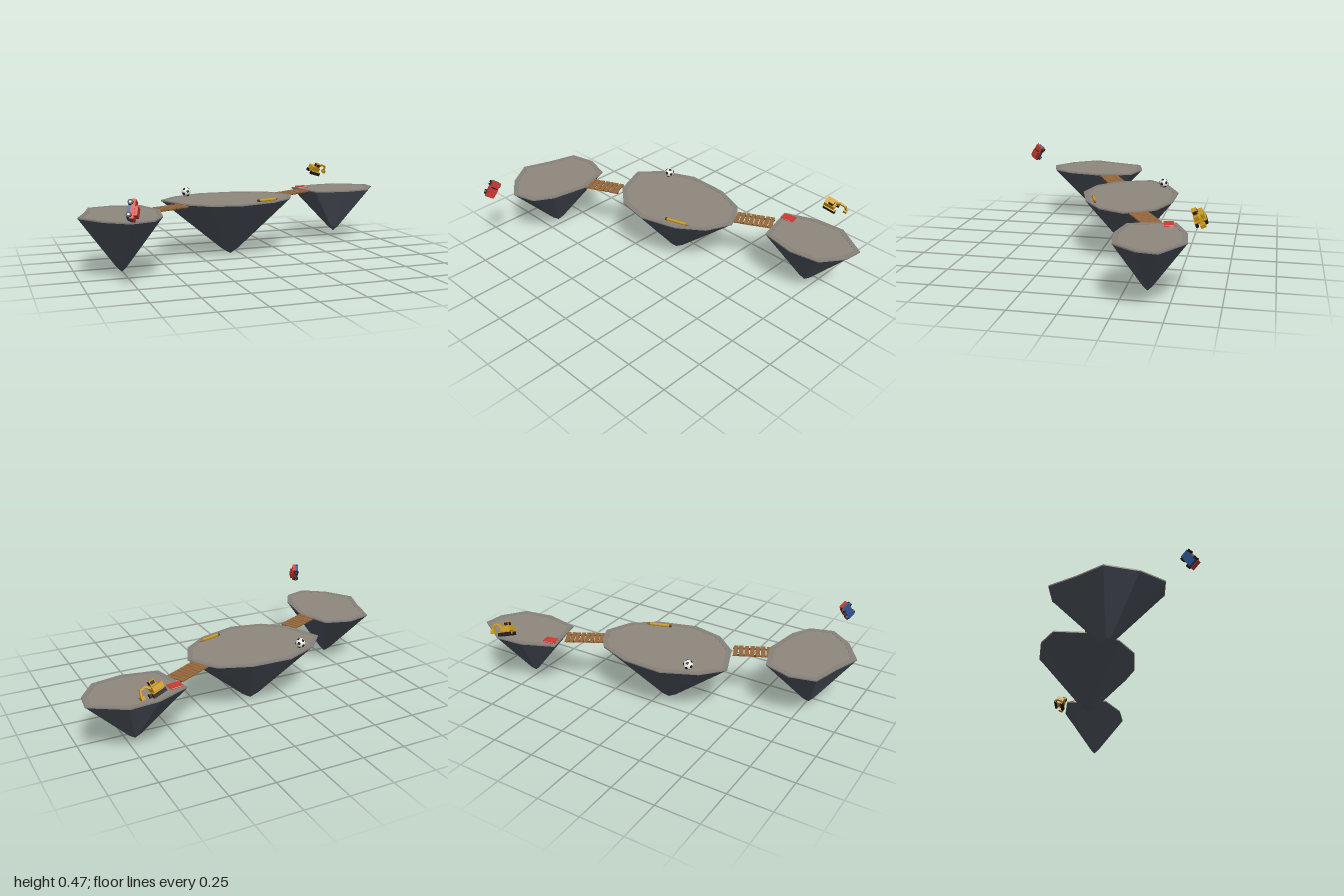
import * as THREE from 'three';

const mat = (name, color) => Object.assign(new THREE.MeshStandardMaterial({ color }), { name });

export function createModel() {
  const M = {
    rock: mat('slate rock', 0x555c67), slab: mat('stone floor', 0x90887e), rim: mat('stone rim', 0x87827b),
    plank: mat('plank wood', 0x99693d), beam: mat('dark wood', 0x5a3d22), white: mat('white', 0xeeeeea),
    black: mat('black', 0x1c1c1e), yellow: mat('golden yellow', 0xcf9c1e), red: mat('toy red', 0xcf3a30),
    blue: mat('toy blue', 0x2f5596),
  };
  const root = new THREE.Group();
  root.name = 'floatingIslands';
  const TOP = 0.33;

  const group = (name, parent = root) => {
    const g = new THREE.Group();
    g.name = name;
    parent.add(g);
    return g;
  };
  const add = (parent, name, geo, m, x = 0, y = 0, z = 0) => {
    const mesh = new THREE.Mesh(geo, m);
    mesh.name = name;
    mesh.position.set(x, y, z);
    parent.add(mesh);
    return mesh;
  };
  const box = (parent, name, m, w, h, d, x, y, z) => add(parent, name, new THREE.BoxGeometry(w, h, d), m, x, y, z);

  // Islands: outline [x, z] clockwise from above, and the tip of the rock below
  const islands = [
    ['leftIsland', [-0.77, 0.02, 0.18], [[-0.9, -0.075], [-0.757, -0.11], [-0.607, -0.064], [-0.543, 0.118],
      [-0.58, 0.337], [-0.644, 0.444], [-0.773, 0.483], [-0.9, 0.39], [-1, 0.24], [-0.945, 0.09]]],
    ['middleIsland', [-0.055, 0, -0.157], [[-0.457, -0.22], [-0.35, -0.337], [-0.163, -0.422], [0.067, -0.417],
      [0.243, -0.353], [0.3, -0.285], [0.345, -0.187], [0.28, -0.043], [0.142, 0.06], [-0.072, 0.123],
      [-0.249, 0.086], [-0.377, -0.02]]],
    ['rightIsland', [0.73, 0.05, -0.385], [[0.478, -0.49], [0.655, -0.567], [0.815, -0.583], [1, -0.47],
      [0.987, -0.364], [0.896, -0.24], [0.73, -0.21], [0.537, -0.246]]],
  ];
  const extrude = (shape, depth) => {
    const g = new THREE.ExtrudeGeometry(shape, { depth, bevelEnabled: false });
    return g.rotateX(Math.PI / 2);
  };
  for (const [name, tip, pts] of islands) {
    const g = group(name);
    // Faceted rock: straight flanks that flatten near the tip
    const y0 = TOP - 0.006, pos = [];
    const ring = (s, y) => pts.map(([x, z]) => [tip[0] + (x - tip[0]) * s, y, tip[2] + (z - tip[2]) * s]);
    const upper = ring(0.99, y0), lower = ring(0.13, tip[1] + (y0 - tip[1]) * 0.1);
    upper.forEach((a, i) => {
      const j = (i + 1) % pts.length, b = upper[j], c = lower[j], d = lower[i];
      pos.push(...a, ...b, ...c, ...a, ...c, ...d, ...d, ...c, ...tip);
    });
    const geo = new THREE.BufferGeometry();
    geo.setAttribute('position', new THREE.Float32BufferAttribute(pos, 3));
    geo.computeVertexNormals();
    add(g, 'rock', geo, M.rock);

    // Stone floor inside a narrow rim
    const outer = pts.map(([x, z]) => new THREE.Vector2(x, z));
    const mid = new THREE.Vector2(tip[0], tip[2]);
    const inner = outer.map((p) => p.clone().sub(mid).setLength(p.distanceTo(mid) - 0.03).add(mid));
    const rim = new THREE.Shape(outer);
    rim.holes.push(new THREE.Path(inner));
    add(g, 'rim', extrude(rim, 0.007), M.rim, 0, TOP + 0.001, 0);
    add(g, 'floor', extrude(new THREE.Shape(inner), 0.006), M.slab, 0, TOP, 0);
  }

  // Plank bridges on two beams
  const bridge = (name, x, z, length, count, angle) => {
    const g = group(name);
    g.position.set(x, TOP - 0.005, z);
    g.rotation.y = angle;
    for (let i = 0; i < count; i++) {
      const p = box(g, 'plank', M.plank, length / count * 0.8, 0.007, 0.108, ((i + 0.5) / count - 0.5) * length, 0, 0);
      p.rotation.y = (i % 3 - 1) * 0.04;
    }
    for (const s of [-1, 1]) box(g, 'beam', M.beam, length, 0.006, 0.01, 0, -0.006, s * 0.038);
  };
  bridge('leftBridge', -0.476, 0.035, 0.21, 7, 0.45);
  bridge('rightBridge', 0.401, -0.316, 0.22, 8, 0.5);

  // Ball with dark patches at the twelve icosahedron corners
  const ball = group('ball');
  ball.position.set(-0.278, TOP + 0.027, -0.32);
  ball.rotation.set(0.3, 0.2, 0.1);
  add(ball, 'ballSkin', new THREE.SphereGeometry(0.027, 24, 16), M.white);
  const phi = (1 + Math.sqrt(5)) / 2, up = new THREE.Vector3(0, 1, 0);
  for (const a of [-1, 1]) for (const b of [-phi, phi]) {
    for (const v of [[0, a, b], [a, b, 0], [b, 0, a]]) {
      const patch = add(ball, 'patch', new THREE.SphereGeometry(0.0277, 5, 3, 0, Math.PI * 2, 0, 0.36), M.black);
      patch.quaternion.setFromUnitVectors(up, new THREE.Vector3(...v).normalize());
    }
  }

  // Pencil lying on the middle island
  const pencil = group('pencil');
  pencil.position.set(0.118, TOP + 0.007, 0.017);
  pencil.rotation.y = 0.3;
  const rod = (name, r0, r1, len, m, x) => {
    add(pencil, name, new THREE.CylinderGeometry(r1, r0, len, 6).rotateZ(-Math.PI / 2), m, x, 0, 0);
  };
  rod('pencilBody', 0.009, 0.009, 0.115, M.yellow, -0.005);
  rod('pencilPoint', 0.009, 0.002, 0.02, M.plank, 0.0625);
  rod('pencilEnd', 0.009, 0.009, 0.01, M.beam, -0.0675);

  // Red book
  const book = group('book');
  book.position.set(0.533, TOP, -0.458);
  book.rotation.y = 0.17;
  box(book, 'lowerCover', M.red, 0.07, 0.003, 0.05, 0, 0.0025, 0);
  box(book, 'pages', M.white, 0.066, 0.004, 0.046, 0, 0.006, 0);
  box(book, 'upperCover', M.red, 0.07, 0.003, 0.05, 0, 0.0095, 0);

  // Toy car tumbling nose-up: x across, y along, z towards its roof
  const car = group('toyCar');
  const along = new THREE.Vector3(0.25, 0.85, -0.47).normalize();
  const across = along.clone().cross(new THREE.Vector3(0.85, -0.02, 0.42)).normalize();
  car.quaternion.setFromRotationMatrix(
    new THREE.Matrix4().makeBasis(across, along, across.clone().cross(along)));
  car.position.set(-0.79, 0.414, 0.612);
  box(car, 'chassis', M.blue, 0.044, 0.092, 0.016, 0, 0, -0.014);
  box(car, 'body', M.red, 0.05, 0.1, 0.02, 0, 0, 0.004);
  box(car, 'cabin', M.red, 0.044, 0.05, 0.016, 0, -0.008, 0.021);
  box(car, 'windscreen', M.black, 0.036, 0.004, 0.01, 0, 0.0175, 0.021);
  for (const sx of [-1, 1]) for (const sy of [-1, 1]) {
    add(car, 'wheel', new THREE.CylinderGeometry(0.014, 0.014, 0.012, 12).rotateZ(Math.PI / 2), M.black,
      sx * 0.026, sy * 0.032, -0.01);
    add(car, 'hub', new THREE.CylinderGeometry(0.006, 0.006, 0.013, 10).rotateZ(Math.PI / 2), M.white,
      sx * 0.0265, sy * 0.032, -0.01);
  }

  // Toy excavator tumbling, arm reaching towards +x
  const digger = group('toyExcavator');
  digger.position.set(0.7, 0.432, -0.62);
  digger.rotation.set(0.42, 0.1, -0.35);
  for (const s of [-1, 1]) {
    box(digger, 'track', M.black, 0.075, 0.02, 0.014, 0, -0.026, s * 0.024);
    box(digger, 'trackGuard', M.yellow, 0.066, 0.004, 0.015, 0, -0.014, s * 0.024);
  }
  box(digger, 'undercarriage', M.yellow, 0.05, 0.014, 0.04, 0, -0.02, 0);
  box(digger, 'house', M.yellow, 0.062, 0.026, 0.05, -0.008, 0.002, 0);
  box(digger, 'cab', M.yellow, 0.03, 0.028, 0.026, -0.002, 0.028, 0.01);
  box(digger, 'sideWindow', M.black, 0.022, 0.016, 0.028, -0.002, 0.03, 0.01);
  box(digger, 'frontWindow', M.black, 0.032, 0.016, 0.019, -0.002, 0.03, 0.01);
  const arm = (name, x0, y0, x1, y1, w) => {
    const a = box(digger, name, M.yellow, Math.hypot(x1 - x0, y1 - y0), w, 0.01, (x0 + x1) / 2, (y0 + y1) / 2, -0.008);
    a.rotation.z = Math.atan2(y1 - y0, x1 - x0);
  };
  arm('boom', 0.015, 0.004, 0.046, 0.034, 0.011);
  arm('boom', 0.044, 0.033, 0.074, 0.03, 0.01);
  arm('stick', 0.074, 0.032, 0.084, 0.0, 0.009);
  box(digger, 'bucket', M.yellow, 0.02, 0.018, 0.026, 0.083, -0.006, -0.008);
  return root;
}
